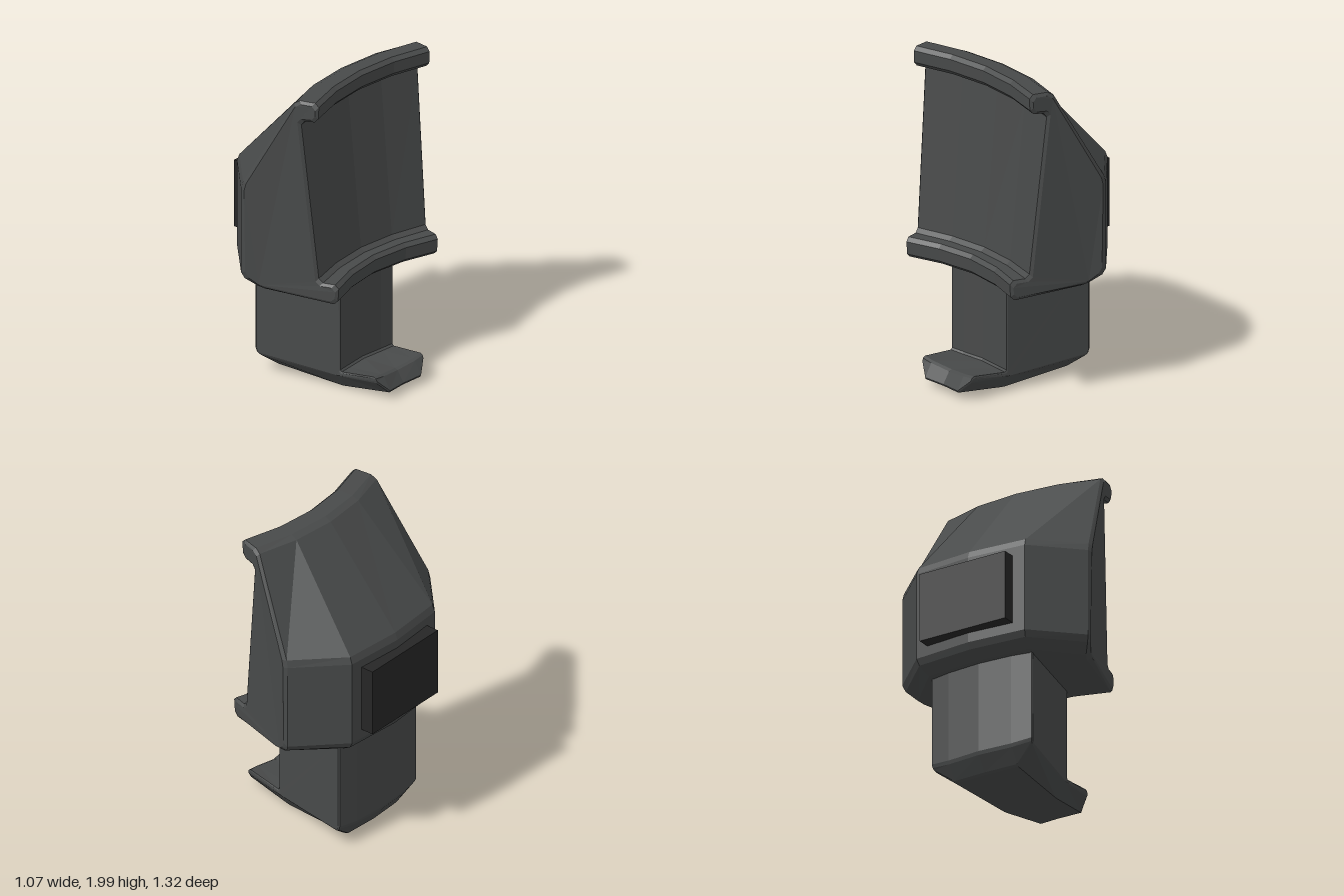
import * as THREE from 'three';

const V = (p) => new THREE.Vector3(...p);

// Pull a closed loop inward by d, following its own edges
function inset(loop, d) {
  const n = loop.length;
  return loop.map((p, i) => {
    const a = p.clone().sub(loop[(i + n - 1) % n]).normalize();
    const b = loop[(i + 1) % n].clone().sub(p).normalize();
    const c = a.x * b.y - a.y * b.x;
    const div = -Math.sign(c) * Math.max(Math.abs(c), 0.5);
    return b.sub(a).multiplyScalar(d / div).add(p);
  });
}

// Cut every corner of a closed loop into two points
function chamfer(loop, cut) {
  const n = loop.length;
  return loop.flatMap((p, i) => [loop[(i + n - 1) % n], loop[(i + 1) % n]].map((q) => {
    const len = p.distanceTo(q);
    return p.clone().lerp(q, Math.min(cut, 0.3 * len) / len);
  }));
}

// Loft mirrored loops (centre, middle, side) across z, with bevelled ends and caps
function symmetricLoft(name, half, cut, material) {
  const [centre, mid, side] = half.map((loop) => loop.map(V));
  const shoulder = side.map((p, i) => p.clone().lerp(mid[i], 0.05));
  const right = [mid, shoulder, inset(side, cut * 0.7)];
  const flip = (loop) => loop.map((p) => new THREE.Vector3(p.x, p.y, -p.z));
  const loops = [...right.map(flip).reverse(), centre, ...right].map((l) => chamfer(l, cut));
  const out = [];
  const tri = (...pts) => pts.forEach((p) => out.push(p.x, p.y, p.z));
  const n = loops[0].length;
  for (let s = 0; s < loops.length - 1; s++) {
    for (let i = 0; i < n; i++) {
      const j = (i + 1) % n, a = loops[s], b = loops[s + 1];
      tri(a[i], b[i], b[j]);
      tri(a[i], b[j], a[j]);
    }
  }
  for (const [loop, facing] of [[loops[0], -1], [loops[loops.length - 1], 1]]) {
    const flat = loop.map((p) => new THREE.Vector2(p.x, p.y));
    for (const [i, j, k] of THREE.ShapeUtils.triangulateShape(flat, [])) {
      const ccw = THREE.ShapeUtils.area([flat[i], flat[j], flat[k]]) > 0;
      if (ccw === facing > 0) tri(loop[i], loop[j], loop[k]);
      else tri(loop[i], loop[k], loop[j]);
    }
  }
  const geometry = new THREE.BufferGeometry();
  geometry.setAttribute('position', new THREE.Float32BufferAttribute(out, 3));
  geometry.computeVertexNormals();
  const mesh = new THREE.Mesh(geometry, material);
  mesh.name = name;
  return mesh;
}

export function createModel() {
  const group = new THREE.Group();
  group.name = 'model';
  const shell = new THREE.MeshStandardMaterial({ color: 0x484a4a, flatShading: true });
  const dark = new THREE.MeshStandardMaterial({ color: 0x262626, flatShading: true });

  // Housing: back wall, sloped roof, upper lip, concave recess, lower lip, underside
  group.add(symmetricLoft('housing', [
    [[-0.48, 0.78, 0], [-0.48, 1.38, 0], [0.05, 1.99, 0], [0.2, 2, 0], [0.195, 1.875, 0],
      [0.085, 1.86, 0], [0.19, 0.82, 0], [0.305, 0.825, 0], [0.295, 0.695, 0], [-0.37, 0.705, 0]],
    [[-0.45, 0.78, 0.38], [-0.45, 1.38, 0.38], [0.075, 1.99, 0.28], [0.225, 2, 0.26], [0.22, 1.875, 0.26],
      [0.11, 1.86, 0.27], [0.215, 0.82, 0.25], [0.335, 0.825, 0.24], [0.325, 0.695, 0.24], [-0.345, 0.705, 0.34]],
    [[-0.17, 0.78, 0.668], [-0.17, 1.38, 0.668], [0.145, 1.99, 0.545], [0.295, 2, 0.515], [0.29, 1.875, 0.515],
      [0.175, 1.86, 0.54], [0.28, 0.82, 0.495], [0.405, 0.825, 0.46], [0.395, 0.695, 0.46], [-0.08, 0.705, 0.59]],
  ], 0.025, shell));

  // Grip with its forward tongue and tapered underside
  group.add(symmetricLoft('grip', [
    [[-0.365, 0.13, 0], [-0.365, 0.75, 0], [0.2, 0.75, 0], [0.2, 0.125, 0],
      [0.465, 0.14, 0], [0.525, 0.05, 0], [0.2, 0.005, 0], [-0.29, 0.02, 0]],
    [[-0.35, 0.13, 0.22], [-0.35, 0.75, 0.22], [0.215, 0.75, 0.15], [0.215, 0.125, 0.15],
      [0.48, 0.155, 0.14], [0.54, 0.055, 0.14], [0.2, 0.01, 0.18], [-0.28, 0.022, 0.22]],
    [[-0.33, 0.145, 0.357], [-0.33, 0.75, 0.357], [0.23, 0.75, 0.24], [0.23, 0.13, 0.24],
      [0.48, 0.165, 0.218], [0.495, 0.13, 0.212], [0.22, 0.1, 0.24], [-0.31, 0.12, 0.35]],
  ], 0.012, shell));

  // Plain block on the back wall
  const pad = new THREE.Mesh(new THREE.BoxGeometry(0.14, 0.435, 0.6), dark);
  pad.name = 'backPad';
  pad.position.set(-0.47, 1.083, 0);
  group.add(pad);
  return group;
}
